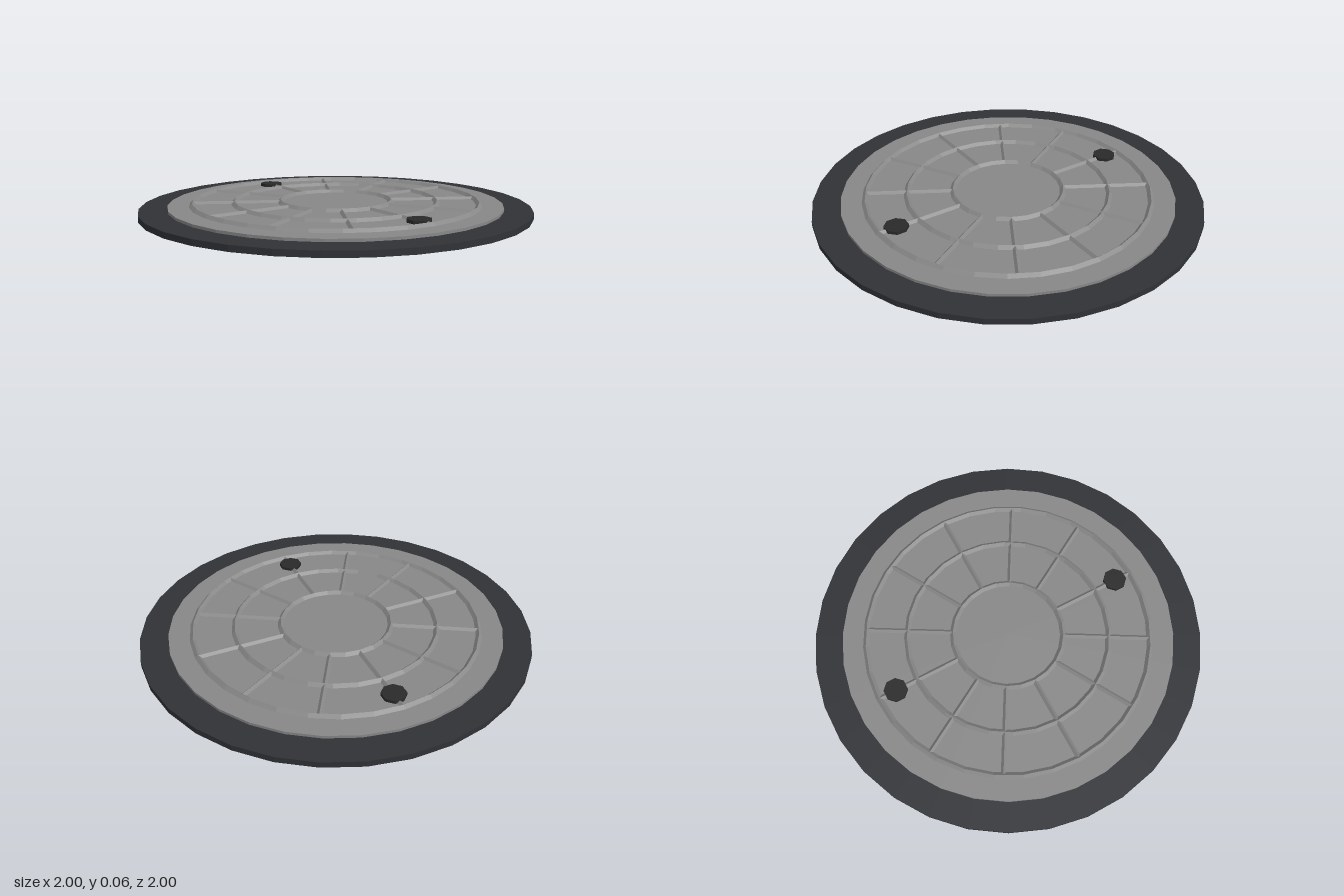
import * as THREE from 'three';

const material = (color) => new THREE.MeshStandardMaterial({ color, flatShading: true });

export function createModel() {
  const model = new THREE.Group();
  model.name = 'accessCover';
  const dark = material(0x303236);
  const metal = material(0x888888);
  const knobDark = material(0x2a2a2a);

  const add = (name, geometry, mat, parent = model) => {
    const mesh = new THREE.Mesh(geometry, mat);
    mesh.name = name;
    parent.add(mesh);
    return mesh;
  };

  // Flat-sided disc, turned half a step so that flats face the axes
  const disc = (name, apothem, y0, y1, sides, mat) => {
    const radius = apothem / Math.cos(Math.PI / sides);
    const geometry = new THREE.CylinderGeometry(radius, radius, y1 - y0, sides);
    geometry.rotateY(Math.PI / sides);
    geometry.translate(0, (y0 + y1) / 2, 0);
    return add(name, geometry, mat);
  };

  const plateTop = 0.044;
  disc('outerFrame', 1, 0, 0.03, 32, dark);
  disc('coverPlate', 0.857, 0.03, plateTop, 32, metal);

  // Concentric raised ridges with a diamond section
  const ridges = new THREE.Group();
  ridges.name = 'ridges';
  model.add(ridges);
  for (const [name, radius, sides] of [
    ['outerRing', 0.738, 32],
    ['middleRing', 0.525, 28],
    ['innerRing', 0.287, 24],
  ]) {
    const ring = new THREE.TorusGeometry(radius, 0.016, 4, sides);
    ring.rotateX(Math.PI / 2);
    ring.translate(0, plateTop, 0);
    add(name, ring, metal, ridges);
  }

  // Twelve radial ribs between the inner and outer rings
  const inner = 0.287, outer = 0.738;
  for (let i = 0; i < 12; i++) {
    const rib = new THREE.CylinderGeometry(0.013, 0.013, outer - inner, 4);
    rib.rotateZ(Math.PI / 2);
    rib.translate((inner + outer) / 2, plateTop, 0);
    rib.rotateY((i * Math.PI) / 6);
    add('radialRib', rib, metal, ridges);
  }

  // Two octagonal lifting studs
  for (const side of [1, -1]) {
    const stud = disc(side > 0 ? 'leftStud' : 'rightStud', 0.057, 0.04, 0.06, 8, knobDark);
    stud.position.x = side * 0.645;
  }

  return model;
}
